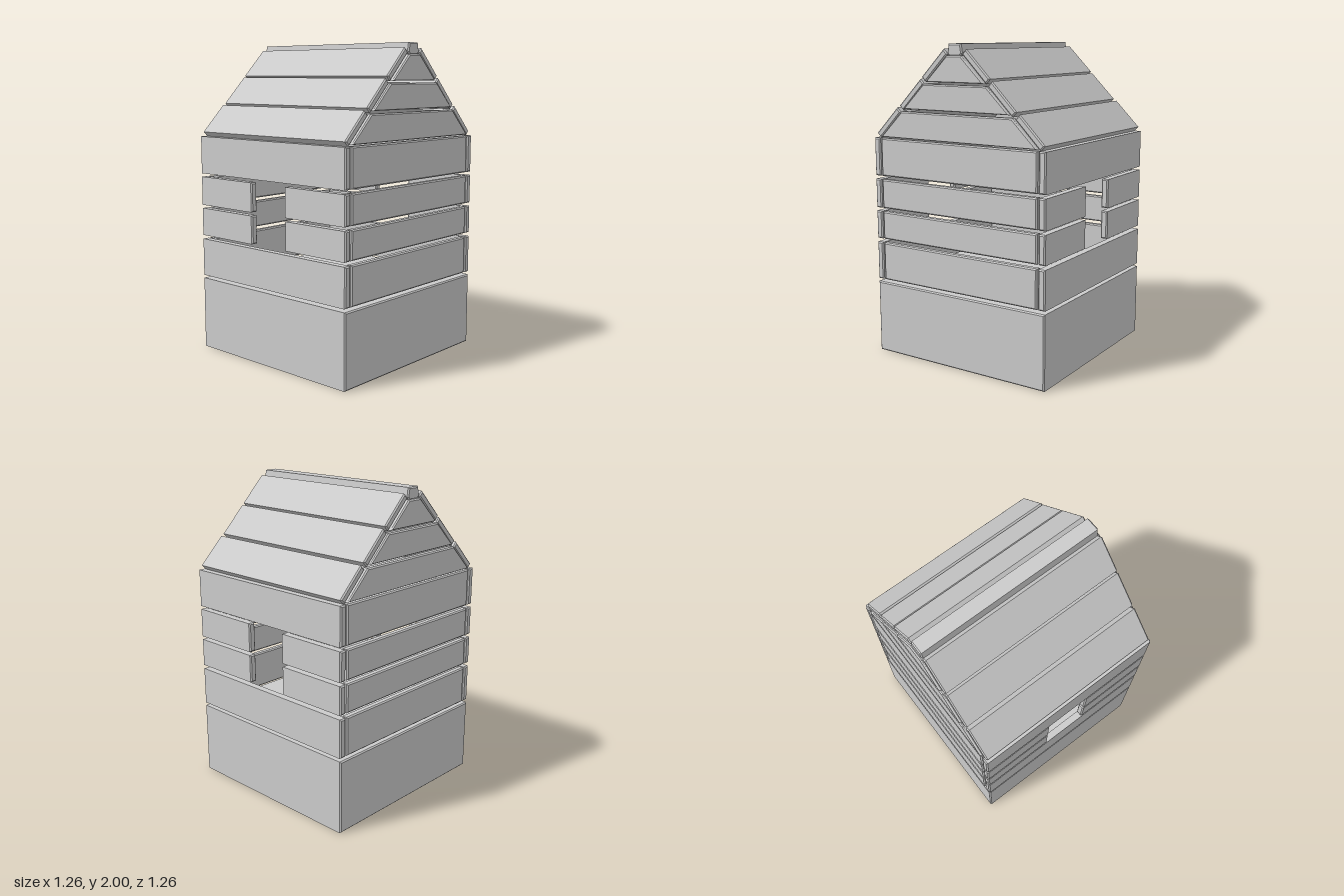
import * as THREE from 'three';

const material = new THREE.MeshStandardMaterial({ color: 0xcccccc, flatShading: true });
const BEVEL = 0.008;
const OUTER = 0.63; // half width of the house
const INNER = 0.585; // inside face of the wall boards

// Chamfered board: an xy outline running from z0 to z1
function board(name, points, z0, z1) {
  const shape = new THREE.Shape(points.map(([x, y]) => new THREE.Vector2(x, y)));
  const geometry = new THREE.ExtrudeGeometry(shape, {
    depth: z1 - z0 - 2 * BEVEL,
    bevelThickness: BEVEL,
    bevelSize: BEVEL,
    bevelOffset: -BEVEL,
    bevelSegments: 1,
  });
  geometry.translate(0, 0, z0 + BEVEL);
  const mesh = new THREE.Mesh(geometry, material);
  mesh.name = name;
  return mesh;
}

const rect = (x0, x1, y0, y1) => [[x0, y0], [x1, y0], [x1, y1], [x0, y1]];
const trapezoid = (bottom, top, y0, y1) => [[-bottom, y0], [bottom, y0], [top, y1], [-top, y1]];

export function createModel() {
  const house = new THREE.Group();
  house.name = 'house';

  // Solid foundation block
  house.add(board('foundation', rect(-OUTER, OUTER, 0, 0.47), -OUTER, OUTER));

  // Wall courses; the middle two leave a window opening in each side wall
  const courses = [
    { y0: 0.49, y1: 0.735 },
    { y0: 0.76, y1: 0.94, window: true },
    { y0: 0.962, y1: 1.148, window: true },
    { y0: 1.17, y1: 1.412 },
  ];
  const walls = new THREE.Group();
  walls.name = 'walls';
  for (const { y0, y1, window } of courses) {
    const spans = window ? [[-OUTER, -0.143], [0.143, OUTER]] : [[-OUTER, OUTER]];
    for (const [z0, z1] of spans) {
      walls.add(board('leftWallBoard', rect(INNER, OUTER, y0, y1), z0, z1));
      walls.add(board('rightWallBoard', rect(-OUTER, -INNER, y0, y1), z0, z1));
    }
    walls.add(board('frontWallBoard', rect(-0.575, 0.575, y0, y1), INNER, OUTER));
    walls.add(board('backWallBoard', rect(-0.575, 0.575, y0, y1), -OUTER, -INNER));
  }
  house.add(walls);

  // Tapering gable boards, front and back
  const gables = new THREE.Group();
  gables.name = 'gables';
  for (const [bottom, top, y0, y1] of [
    [0.572, 0.405, 1.42, 1.587],
    [0.387, 0.23, 1.603, 1.76],
    [0.21, 0.053, 1.773, 1.93],
  ]) {
    const outline = trapezoid(bottom, top, y0, y1);
    gables.add(board('frontGableBoard', outline, INNER, OUTER));
    gables.add(board('backGableBoard', outline, -OUTER, -INNER));
  }
  house.add(gables);

  // Three sloping boards on each side of the roof
  const roof = new THREE.Group();
  roof.name = 'roof';
  for (const side of [-1, 1]) {
    for (const [x, y] of [[0.518, 1.51], [0.33, 1.69], [0.151, 1.87]]) {
      const slat = board('roofBoard', rect(-0.119, 0.119, -0.021, 0.021), -0.618, 0.618);
      slat.position.set(side * x, y, 0);
      slat.rotation.z = -side * Math.PI / 4;
      roof.add(slat);
    }
  }

  // Ridge cap
  const cap = [[-0.036, 1.925], [0.036, 1.925], [0.054, 1.942], [0.045, 2], [-0.045, 2], [-0.054, 1.942]];
  roof.add(board('ridgeCap', cap, -0.618, 0.618));
  house.add(roof);

  return house;
}
